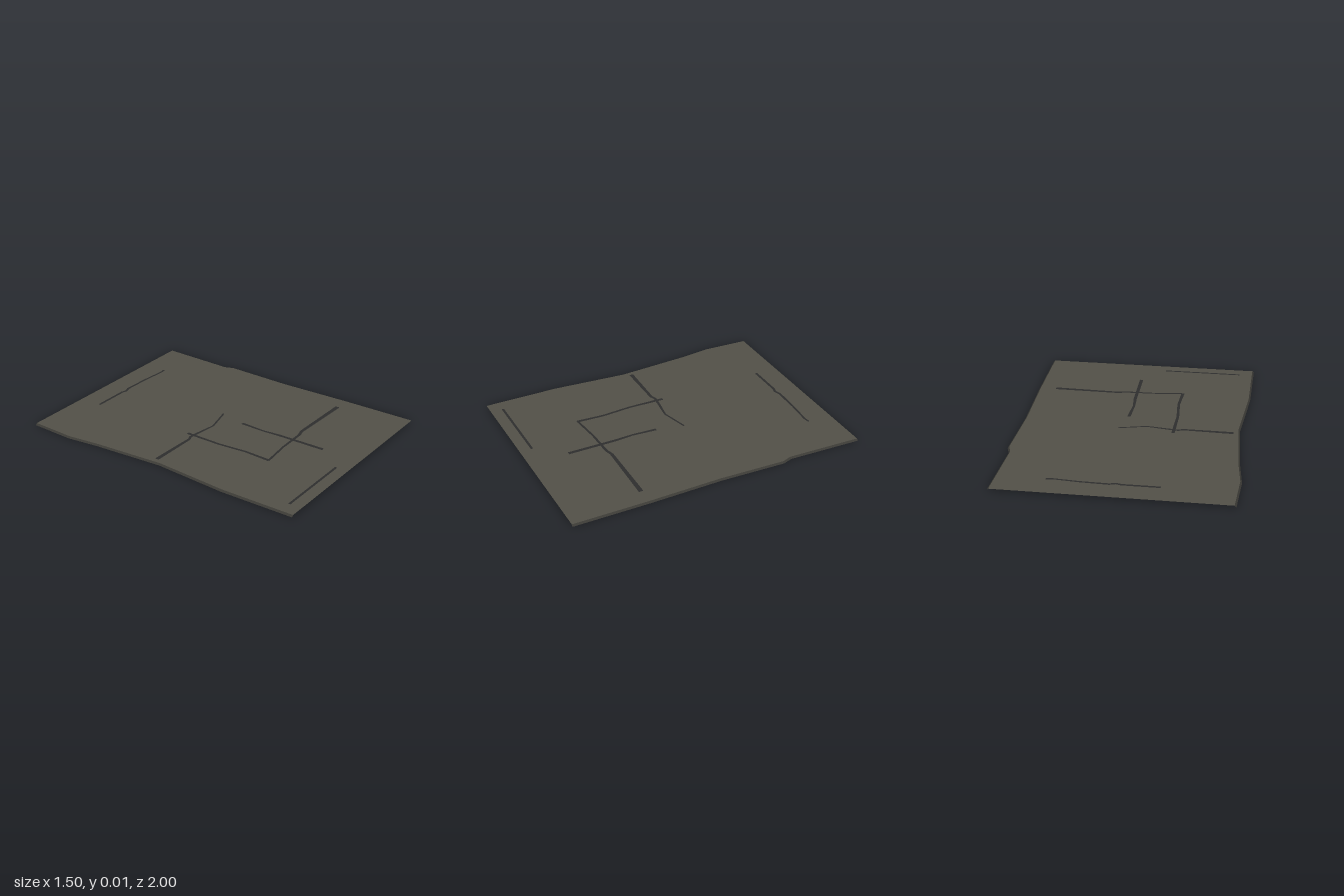
import * as THREE from 'three';

const H = 0.011; // slab thickness
const INSET = 0.011; // how far the top edge sits inside the bottom edge

// Outlines of the ragged long edges as [x, z]
const LEFT = [[-0.74, -1], [-0.755, -0.7], [-0.73, -0.48], [-0.7, 0], [-0.74, 0.5], [-0.74, 1]];
const RIGHT = [[0.745, -1], [0.728, -0.505], [0.75, -0.44], [0.735, 0], [0.745, 0.5], [0.745, 1]];

// Cracks running across, as [x, z, width]
const ACROSS = [
  [[-0.28, -0.842, 0.018], [-0.04, -0.842, 0.018], [-0.01, -0.832, 0.018], [0.03, -0.845, 0.018],
    [0.21, -0.84, 0.015], [0.38, -0.826, 0.014], [0.42, -0.832, 0.014]],
  [[-0.66, -0.048, 0.028], [-0.33, -0.042, 0.02], [-0.3, -0.055, 0.02], [-0.235, -0.048, 0.018],
    [-0.09, -0.026, 0.013], [0.095, -0.073, 0.013]],
  [[-0.275, 0.53, 0.015], [-0.07, 0.508, 0.015], [0.13, 0.503, 0.02], [0.18, 0.489, 0.022], [0.625, 0.498, 0.03]],
  [[-0.64, 0.917, 0.016], [-0.105, 0.917, 0.016]],
];

// Cracks running lengthwise, as [x, z, width]
const ALONG = [
  [[-0.27, 0.1 - 0.2, 0.022], [-0.275, 0.15, 0.018], [-0.26, 0.35, 0.018], [-0.27, 0.53, 0.022]],
  [[0.05, 0.11, 0.022], [0.04, 0.28, 0.016], [0.048, 0.4, 0.022], [0.048, 0.73, 0.024]],
];

// Flat-faced strip between two rows of points
function strip(a, b) {
  const pos = [];
  for (let i = 0; i < a.length - 1; i++) {
    pos.push(...a[i], ...a[i + 1], ...b[i + 1], ...a[i], ...b[i + 1], ...b[i]);
  }
  const geo = new THREE.BufferGeometry();
  geo.setAttribute('position', new THREE.Float32BufferAttribute(pos, 3));
  geo.computeVertexNormals();
  return geo;
}

// x of an outline at a given z
function xAt(line, z) {
  const i = Math.max(1, line.findIndex((p) => p[1] >= z));
  const [p, q] = [line[i - 1], line[i]];
  return p[0] + (q[0] - p[0]) * (z - p[1]) / (q[1] - p[1]);
}

export function createModel() {
  const stone = new THREE.MeshStandardMaterial({ color: 0x535148 });
  const edge = new THREE.MeshStandardMaterial({ color: 0x3b3a35 });
  const crack = new THREE.MeshStandardMaterial({ color: 0x2e2e2e });
  stone.name = 'stone';
  edge.name = 'edge stone';
  crack.name = 'crack';

  const group = new THREE.Group();
  group.name = 'crackedSlab';
  const add = (name, geo, mat) => {
    const mesh = new THREE.Mesh(geo, mat);
    mesh.name = name;
    group.add(mesh);
  };

  // Slab: shared z stations, outer bottom edges and inset top edges
  const zs = [...new Set([...LEFT, ...RIGHT].map((p) => p[1]))].sort((a, b) => a - b);
  const row = (line, dx, y) => zs.map((z) => [xAt(line, z) + dx, y, z]);
  const leftTop = row(LEFT, INSET, H);
  const leftBottom = row(LEFT, 0, 0);
  const rightTop = row(RIGHT, -INSET, H);
  const rightBottom = row(RIGHT, 0, 0);
  add('slabTop', strip(leftTop, rightTop), stone);
  add('slabBottom', strip(rightBottom, leftBottom), stone);
  add('edgeRight', strip(leftBottom, leftTop), edge);
  add('edgeLeft', strip(rightTop, rightBottom), edge);

  // Cracks: thin ribbons just above the top
  const y = H + 0.001;
  ACROSS.forEach((pts, i) => add(`crackAcross${i + 1}`, strip(
    pts.map(([x, z, w]) => [x, y, z + w / 2]),
    pts.map(([x, z, w]) => [x, y, z - w / 2]),
  ), crack));
  ALONG.forEach((pts, i) => add(`crackAlong${i + 1}`, strip(
    pts.map(([x, z, w]) => [x - w / 2, y, z]),
    pts.map(([x, z, w]) => [x + w / 2, y, z]),
  ), crack));

  return group;
}
